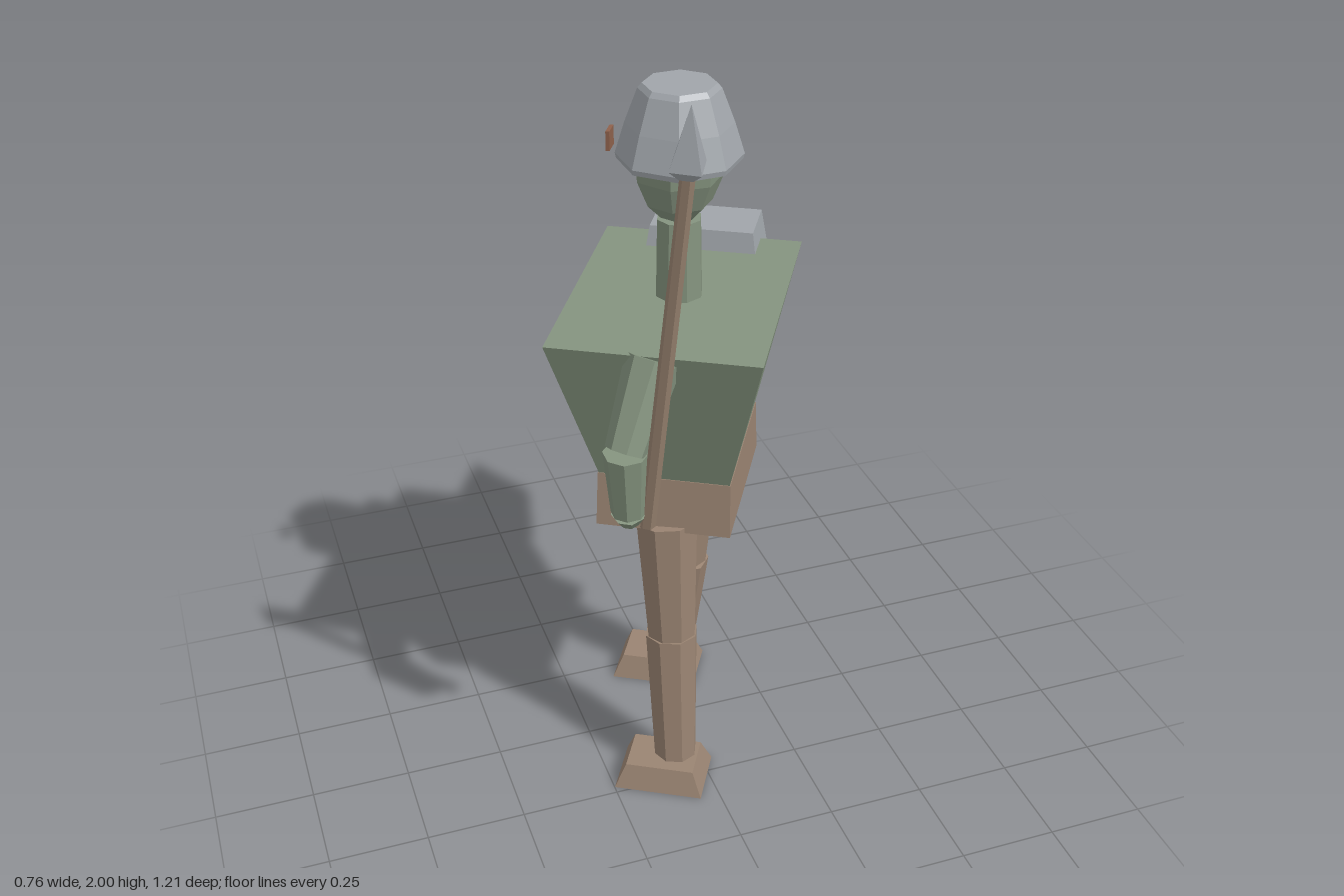
import * as THREE from 'three';

const mat = (name, color) => {
  const m = new THREE.MeshStandardMaterial({ color, flatShading: true });
  m.name = name;
  return m;
};

export function createModel() {
  const green = mat('green cloth and skin', 0x85947f);
  const brown = mat('brown leather and wood', 0x9a8472);
  const steel = mat('pale steel', 0xa0a5aa);
  const dark = mat('dark shield', 0x74747c);
  const rust = mat('rust badge', 0x8f624c);
  dark.side = THREE.DoubleSide;

  const model = new THREE.Group();
  model.name = 'spearman';
  const add = (name, geo, m, parent = model) => {
    const mesh = new THREE.Mesh(geo, m);
    mesh.name = name;
    parent.add(mesh);
    return mesh;
  };

  // Body frame, turned so that its local +z is the way the figure walks
  const turn = -Math.PI * 2 / 3;
  const body = new THREE.Group();
  body.name = 'body';
  body.rotation.y = turn;
  body.position.z = 0.025;
  model.add(body);

  // Box with half sizes [x, z] at the bottom and at the top
  const taperBox = (y0, y1, bottom, top) => {
    const g = new THREE.BoxGeometry(2, y1 - y0, 2);
    const p = g.attributes.position;
    for (let i = 0; i < p.count; i++) {
      const s = p.getY(i) > 0 ? top : bottom;
      p.setX(i, p.getX(i) * s[0]);
      p.setZ(i, p.getZ(i) * s[1]);
    }
    return g.translate(0, (y0 + y1) / 2, 0);
  };

  // Faceted limb running from point a to point b
  const limb = (name, a, b, ra, rb, m, sides = 8) => {
    const A = new THREE.Vector3(...a), B = new THREE.Vector3(...b);
    const dir = B.clone().sub(A);
    const mesh = add(name, new THREE.CylinderGeometry(rb, ra, dir.length(), sides), m);
    mesh.position.copy(A).add(B).multiplyScalar(0.5);
    mesh.quaternion.setFromUnitVectors(new THREE.Vector3(0, 1, 0), dir.normalize());
    return mesh;
  };

  const lathe = (points, sides) =>
    new THREE.LatheGeometry(points.map(([r, y]) => new THREE.Vector2(r, y)), sides);

  // Torso and hips
  add('torso', taperBox(0.91, 1.313, [0.2, 0.16], [0.33, 0.25]), green, body);
  add('hips', taperBox(0.77, 0.91, [0.215, 0.165], [0.202, 0.162]), brown, body);

  // Neck, head and helmet
  limb('neck', [-0.003, 1.3, 0.03], [-0.003, 1.51, 0.03], 0.058, 0.054, green);
  const head = add('head',
    lathe([[0, 1.49], [0.032, 1.495], [0.08, 1.545], [0.107, 1.61], [0.113, 1.67], [0, 1.67]], 7), green);
  head.position.set(0, 0, 0.015);
  head.rotation.y = 0.4;
  const helmet = add('helmet',
    lathe([[0, 1.65], [0.145, 1.652], [0.148, 1.665], [0.125, 1.74], [0.095, 1.82], [0.085, 1.832], [0, 1.832]], 8),
    steel, body);
  helmet.rotation.y = THREE.MathUtils.degToRad(10);
  const badge = add('helmetBadge', new THREE.BoxGeometry(0.044, 0.046, 0.009), rust, body);
  badge.position.set(0.063, 1.715, 0.148);

  // Legs and feet: hip, knee and ankle points, then the foot centre [x, z]
  const legs = [
    ['left', [-0.082, 0.78, 0.165], [-0.075, 0.435, 0.18], [-0.075, 0.06, 0.21], [-0.11, 0.217]],
    ['right', [0.08, 0.78, -0.11], [0.068, 0.425, -0.135], [0.055, 0.06, -0.195], [0.021, -0.215]],
  ];
  for (const [side, hip, knee, ankle, sole] of legs) {
    limb(side + 'Thigh', hip, knee, 0.08, 0.063, brown);
    limb(side + 'Shin', knee, ankle, 0.068, 0.056, brown);
    const foot = add(side + 'Foot', taperBox(0, 0.065, [0.081, 0.114], [0.06, 0.088]), brown);
    foot.position.set(sole[0], 0, sole[1]);
    foot.rotation.y = turn;
  }

  // Arms
  const arms = [
    ['left', [-0.15, 1.29, 0.28], [-0.238, 1.1, 0.342], [-0.23, 0.93, 0.33], [-0.225, 0.895, 0.32]],
    ['right', [0.155, 1.3, -0.265], [0.185, 1.1, -0.335], [0.135, 0.93, -0.355], [0.12, 0.88, -0.36]],
  ];
  for (const [side, shoulder, elbow, wrist, tip] of arms) {
    limb(side + 'UpperArm', shoulder, elbow, 0.066, 0.05, green);
    limb(side + 'Forearm', elbow, wrist, 0.054, 0.042, green);
    limb(side + 'Hand', wrist, tip, 0.042, 0.024, green);
  }

  // Shoulder guard over the shield arm
  const guard = add('shoulderGuard', taperBox(1.23, 1.365, [0.095, 0.15], [0.073, 0.13]), steel, body);
  guard.position.set(-0.316, 0, -0.008);

  // Flat five-sided shield
  const outline = [[-0.207, 1.137], [-0.207, 0.835], [0, 0.718], [0.207, 0.835], [0.207, 1.137]];
  const shape = new THREE.Shape(outline.map(([x, y]) => new THREE.Vector2(x, y)));
  const shield = add('shield', new THREE.ShapeGeometry(shape), dark, body);
  shield.position.set(-0.47, 0, 0.093);

  // Spear
  limb('spearShaft', [-0.185, 0.885, 0.333], [-0.17, 1.86, 0.562], 0.019, 0.016, brown, 6);
  const spearHead = add('spearHead', lathe([[0, -0.02], [0.02, -0.02], [0.046, 0.005], [0, 0.14]], 4), steel);
  spearHead.position.set(-0.171, 1.862, 0.56);
  spearHead.rotation.set(0.15, 0.3, 0);

  return model;
}
